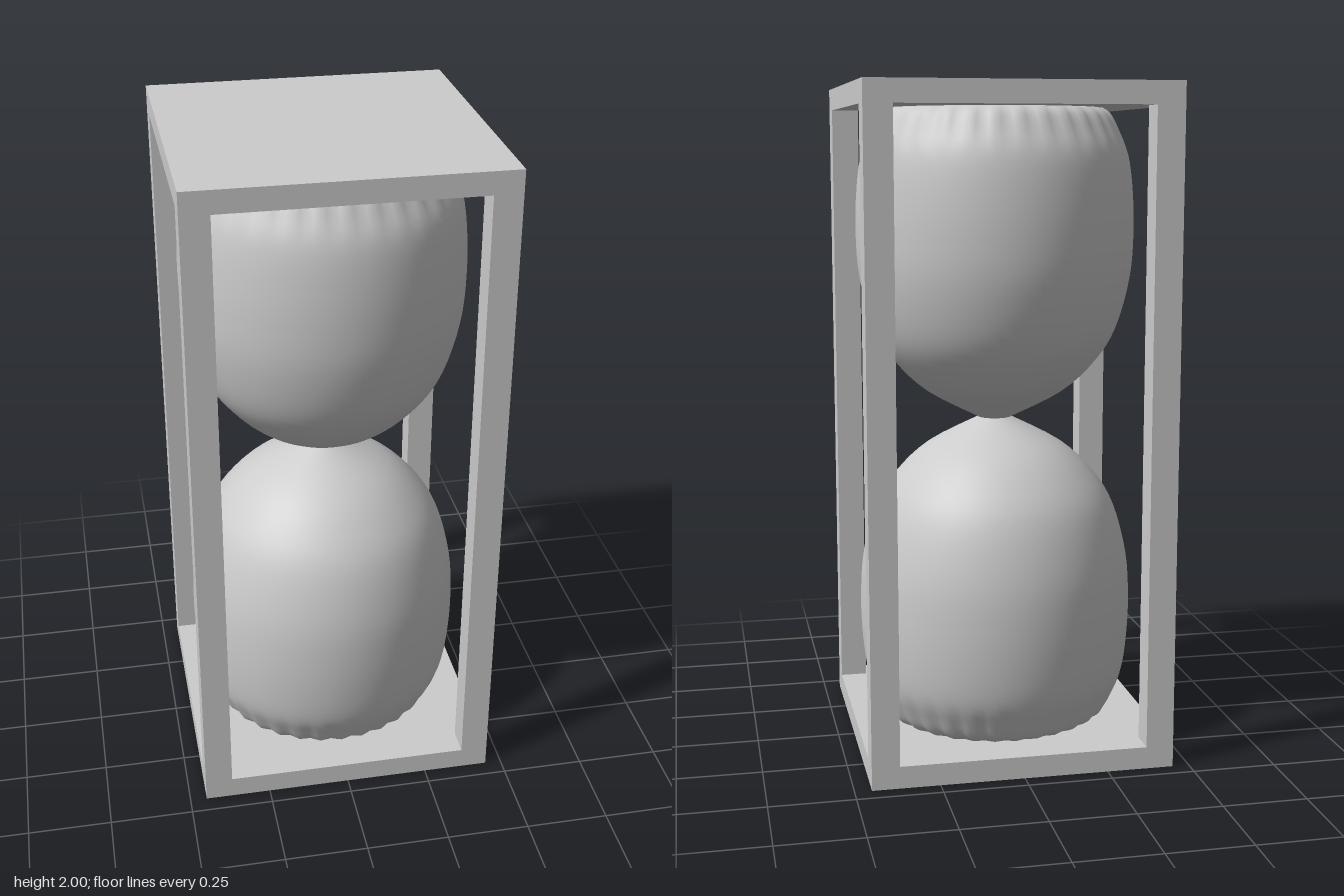
import * as THREE from 'three';

const WIDTH = 0.9, SLAB = 0.066, POST = 0.082, HEIGHT = 2;
const PLEATS = 32;

const material = new THREE.MeshStandardMaterial({ color: 0xcccccc, side: THREE.DoubleSide });

function addBox(parent, name, w, h, d, x, y, z) {
  const mesh = new THREE.Mesh(new THREE.BoxGeometry(w, h, d), material);
  mesh.name = name;
  mesh.position.set(x, y, z);
  parent.add(mesh);
}

// Glass bulb: a turned profile whose base is gathered into small pleats
function bulbGeometry() {
  const outline = new THREE.SplineCurve([
    [0.32, SLAB], [0.345, 0.085], [0.37, 0.13], [0.4, 0.2], [0.415, 0.3], [0.42, 0.43],
    [0.41, 0.57], [0.37, 0.72], [0.31, 0.82], [0.21, 0.915], [0.05, 1],
  ].map(([r, y]) => new THREE.Vector2(r, y)));
  const profile = [new THREE.Vector2(0, SLAB), ...outline.getPoints(40)];
  const geometry = new THREE.LatheGeometry(profile, PLEATS * 4);

  // Ripple the radius near the base, fading out at y = 0.2
  const p = geometry.attributes.position;
  for (let i = 0; i < p.count; i++) {
    const x = p.getX(i), y = p.getY(i), z = p.getZ(i);
    const fade = Math.max(0, Math.min(1, (0.2 - y) / 0.12));
    const k = 1 + 0.016 * fade * Math.cos(Math.atan2(z, x) * PLEATS);
    p.setXYZ(i, x * k, y, z * k);
  }
  geometry.computeVertexNormals();

  // Match normals across the seam of the turned surface
  const n = geometry.attributes.normal, rows = profile.length, last = PLEATS * 4 * rows;
  for (let j = 0; j < rows; j++) {
    const v = new THREE.Vector3().fromBufferAttribute(n, j)
      .add(new THREE.Vector3().fromBufferAttribute(n, last + j)).normalize();
    n.setXYZ(j, v.x, v.y, v.z);
    n.setXYZ(last + j, v.x, v.y, v.z);
  }
  return geometry;
}

export function createModel() {
  const model = new THREE.Group();
  model.name = 'hourglass';

  // Square frame: two slabs and four corner posts
  const frame = new THREE.Group();
  frame.name = 'frame';
  addBox(frame, 'baseSlab', WIDTH, SLAB, WIDTH, 0, SLAB / 2, 0);
  addBox(frame, 'topSlab', WIDTH, SLAB, WIDTH, 0, HEIGHT - SLAB / 2, 0);
  const offset = (WIDTH - POST) / 2;
  for (const sx of [-1, 1]) {
    for (const sz of [-1, 1]) {
      const name = (sz > 0 ? 'front' : 'back') + (sx > 0 ? 'Left' : 'Right') + 'Post';
      addBox(frame, name, POST, HEIGHT - 2 * SLAB, POST, sx * offset, HEIGHT / 2, sz * offset);
    }
  }
  model.add(frame);

  // Two bulbs meeting at the narrow neck
  const geometry = bulbGeometry();
  const lower = new THREE.Mesh(geometry, material);
  lower.name = 'lowerBulb';
  const upper = new THREE.Mesh(geometry, material);
  upper.name = 'upperBulb';
  upper.rotation.x = Math.PI;
  upper.position.y = HEIGHT;
  model.add(lower, upper);

  return model;
}
